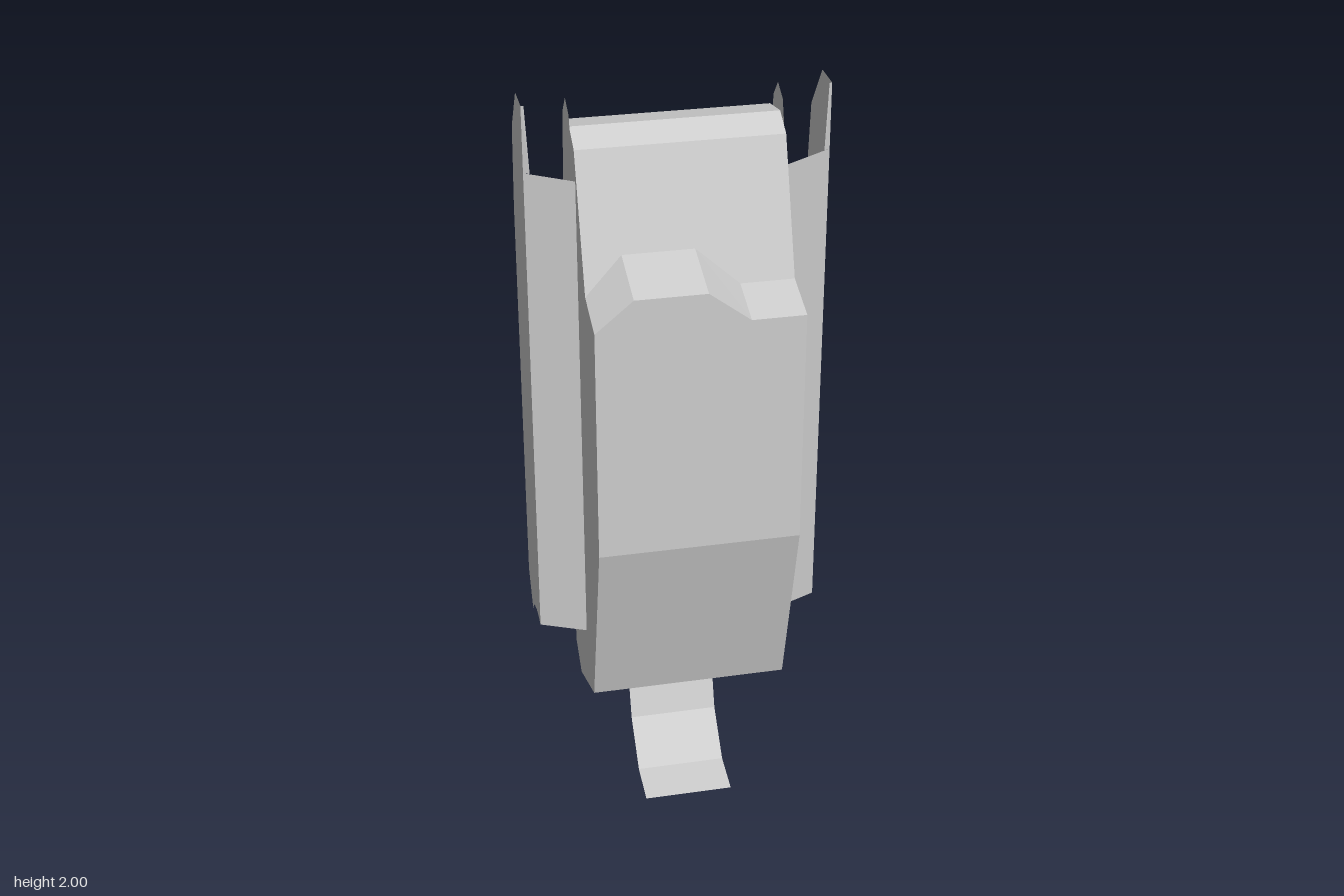
import * as THREE from 'three';

const mat = new THREE.MeshStandardMaterial({ color: 0xcccccc, flatShading: true, side: THREE.DoubleSide });

// Skin between rows of [x, y, z] points, optionally closing each row into a ring
function loft(rows, closed) {
  const pos = [];
  for (let i = 0; i + 1 < rows.length; i++) {
    const a = rows[i], b = rows[i + 1], n = a.length;
    for (let j = 0; j < (closed ? n : n - 1); j++) {
      const k = (j + 1) % n;
      pos.push(...a[j], ...a[k], ...b[k], ...a[j], ...b[k], ...b[j]);
    }
  }
  const g = new THREE.BufferGeometry();
  g.setAttribute('position', new THREE.Float32BufferAttribute(pos, 3));
  g.computeVertexNormals();
  return g;
}

// Flat plate in the side plane at a given x, outlined by [z, y] points
function sidePlate(points, x) {
  const g = new THREE.ShapeGeometry(new THREE.Shape(points.map(p => new THREE.Vector2(...p))));
  return g.rotateY(-Math.PI / 2).translate(x, 0, 0);
}

export function createModel() {
  const model = new THREE.Group();
  const add = (name, geometry, parent = model) => {
    const mesh = new THREE.Mesh(geometry, mat);
    mesh.name = name;
    parent.add(mesh);
    return mesh;
  };
  const box = (name, w, h, d, x, y, z, parent) =>
    add(name, new THREE.BoxGeometry(w, h, d).translate(x, y, z), parent);

  // Main body: side profile that changes only at the raised front pouch
  const profile = high => [
    [0.325, high ? 1.61 : 1.53], [0.325, 0.905], [0.195, 0.39], [-0.02, 0.305],
    [-0.1, 0.36], [-0.105, 1.75], [-0.083, 1.91], [0.017, 1.93], [0.08, 1.895],
    high ? [0.168, 1.655] : [0.2, 1.567],
  ];
  const stations = [[-0.26, 0], [-0.165, 1], [0.015, 1], [0.12, 0], [0.256, 0]];
  const body = new THREE.Group();
  body.name = 'body';
  model.add(body);
  add('bodyShell', loft(stations.map(([x, h]) => profile(h).map(([z, y]) => [x, y, z])), true), body);
  add('bodyRightSide', sidePlate(profile(0), -0.26), body);
  add('bodyLeftSide', sidePlate(profile(0), 0.256), body);

  // Side wings: slanted strip, outer panel and pointed tab beside the body top
  const panel = [
    [0.04, 2], [-0.05, 2], [-0.14, 1.88], [-0.165, 1.65], [-0.165, 0.57], [-0.105, 0.475],
    [-0.09, 0.497], [-0.07, 0.513], [-0.03, 0.525], [0.0, 0.527], [0.04, 0.522],
  ];
  const tab = [[0.04, 1.75], [0.04, 1.9], [0.02, 1.96], [-0.03, 1.985], [-0.07, 1.94], [-0.1, 1.75]];
  for (const s of [-1, 1]) {
    const wing = new THREE.Group();
    wing.name = s > 0 ? 'leftWing' : 'rightWing';
    model.add(wing);
    add('wingStrip', loft([
      [[s * 0.258, 0.522, 0.092], [s * 0.258, 1.82, 0.092]],
      [[s * 0.377, 0.522, 0.04], [s * 0.377, 1.83, 0.04]],
    ]), wing);
    add('wingPanel', sidePlate(panel, s * 0.377), wing);
    add('wingTipFold', loft([
      [[s * 0.362, 1.83, 0.047], [s * 0.37, 2, 0.042]],
      [[s * 0.377, 1.83, 0.04], [s * 0.377, 2, 0.04]],
    ]), wing);
    add('topTab', sidePlate(tab, s * 0.261), wing);
  }

  // Hanging strap
  const strap = [[-0.075, 0.365], [-0.06, 0.225], [-0.025, 0.12], [0.08, 0.017], [0.19, 0]];
  add('strap', loft([-0.12, 0.12].map(x => strap.map(([z, y]) => [x, y, z]))));

  // Round back unit: drum with a flattened top, chamfered cover
  const unit = new THREE.Group();
  unit.name = 'backUnit';
  unit.position.y = 1.1;
  model.add(unit);
  const sides = 16;
  const ring = (rx, ry, z, top = 1) => Array.from({ length: sides }, (_, i) => {
    const a = (i + 0.5) / sides * Math.PI * 2;
    return [Math.cos(a) * rx, Math.min(Math.sin(a) * ry, top), z];
  });
  const centre = z => Array.from({ length: sides }, () => [0, 0, z]);
  add('drum', loft([ring(0.195, 0.222, -0.1, 0.16), ring(0.208, 0.228, -0.22, 0.16)], true), unit);
  add('cover', loft([
    centre(-0.215), ring(0.205, 0.228, -0.215), ring(0.219, 0.238, -0.235),
    ring(0.214, 0.235, -0.254), centre(-0.255),
  ], true), unit);

  // Fittings on the drum top
  for (const [x, w, h] of [[-0.112, 0.075, 0.05], [-0.015, 0.06, 0.06], [0.083, 0.065, 0.06]]) {
    box('fittingBlock', w, h, 0.09, x, 0.145 + h / 2, -0.16, unit);
    box('fittingKnob', w * 0.5, 0.025, 0.035, x, 0.217, -0.185, unit);
  }
  // Tapered side lugs
  for (const s of [-1, 1]) {
    const lug = (x, h, z0, z1) => [[x, -h, z0], [x, h, z0], [x, h, z1], [x, -h, z1]];
    const mesh = add('sideLug', loft([
      lug(s * 0.185, 0.085, -0.105, -0.195), lug(s * 0.228, 0.06, -0.125, -0.155),
      lug(s * 0.229, 0, -0.14, -0.14),
    ], true), unit);
    mesh.position.y = 0.02;
  }
  // Thin rear fin
  add('rearFin', new THREE.PlaneGeometry(0.09, 0.07).rotateX(-Math.PI / 2).translate(0, 0.02, -0.29), unit);

  return model;
}
